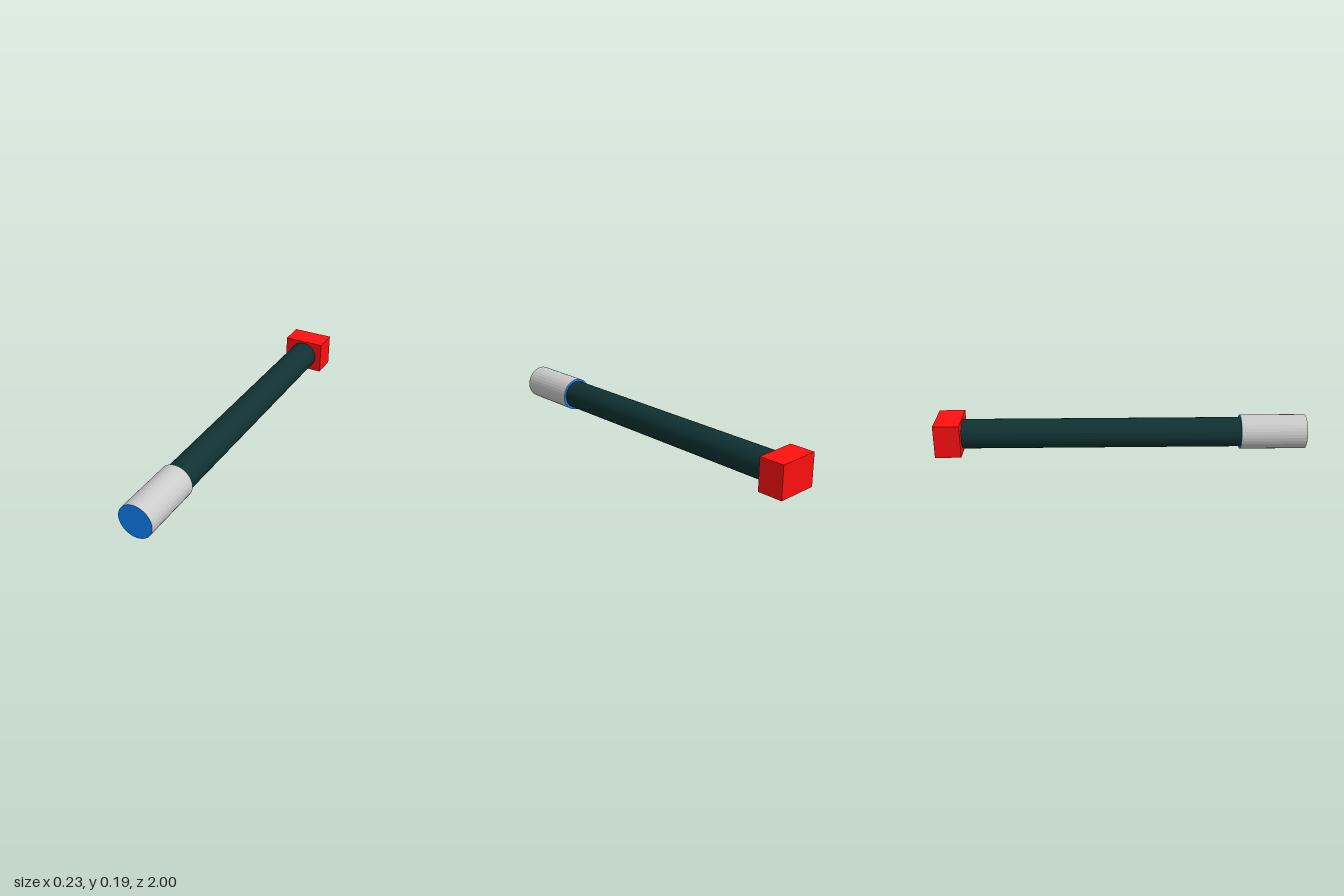
import * as THREE from 'three';

const AXIS_Y = 0.093;
const paint = (color) => new THREE.MeshStandardMaterial({ color, flatShading: true });

// Closed cylinder lying along z from z0 to z1
function rod(name, radius, z0, z1, material) {
  const geometry = new THREE.CylinderGeometry(radius, radius, z1 - z0, 32);
  geometry.rotateX(Math.PI / 2);
  const mesh = new THREE.Mesh(geometry, material);
  mesh.name = name;
  mesh.position.set(0, AXIS_Y, (z0 + z1) / 2);
  return mesh;
}

export function createModel() {
  const group = new THREE.Group();
  group.name = 'rod';
  const grey = paint(0xcccccc);
  const blue = paint(0x1085ff);
  const dark = paint(0x103232);
  const red = paint(0xff1010);

  // Long dark shaft
  group.add(rod('shaft', 0.08, -0.86, 0.645, dark));

  // Grey sleeve at the front with blue end faces
  group.add(rod('endSleeve', 0.093, 0.645, 1, [grey, blue, blue]));

  // Red block at the back
  const block = new THREE.Mesh(new THREE.BoxGeometry(0.23, 0.18, 0.14), red);
  block.name = 'endBlock';
  block.position.set(0, 0.094, -0.93);
  group.add(block);

  return group;
}
